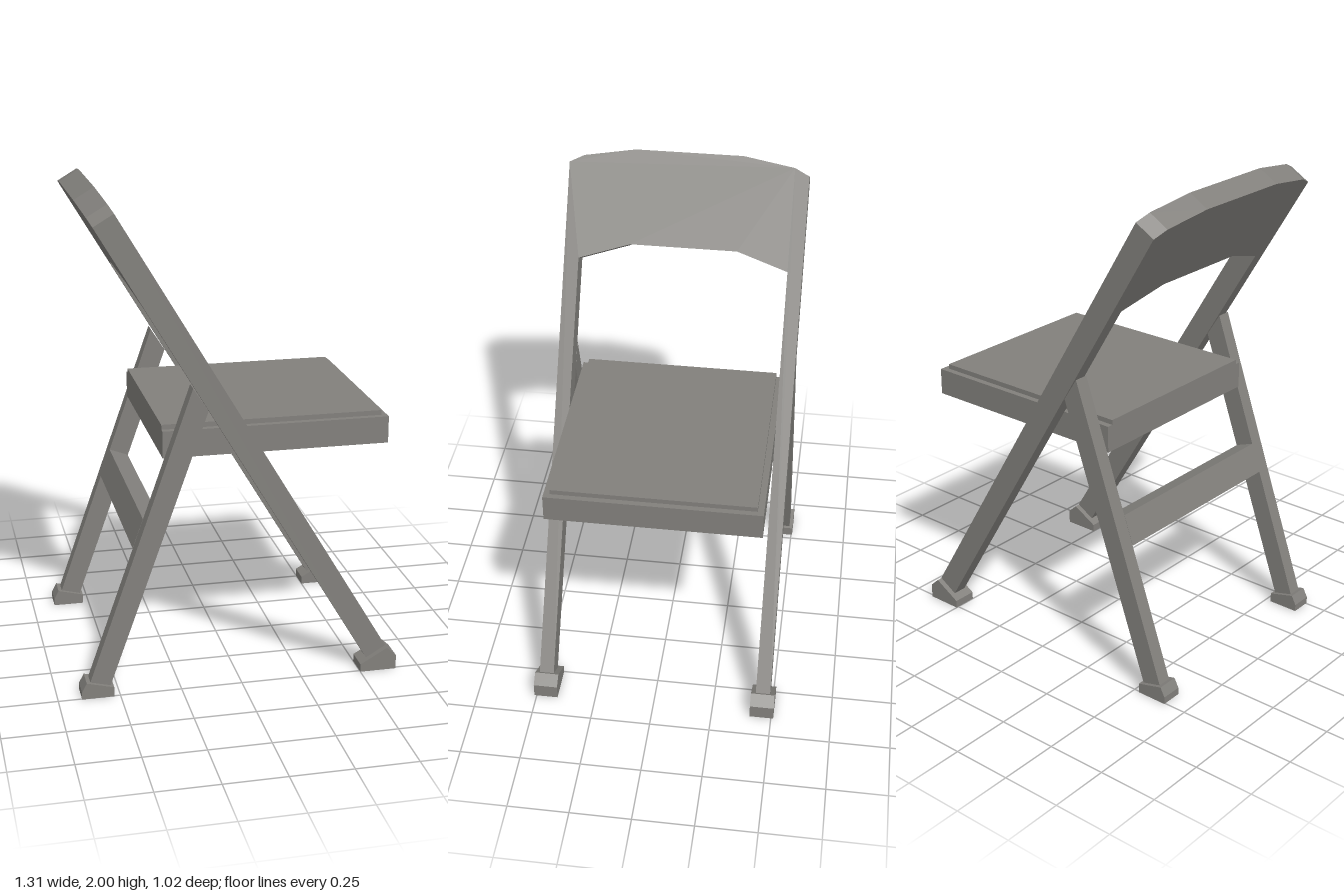
import * as THREE from 'three';

export function createModel() {
  const group = new THREE.Group();
  const grey = new THREE.MeshStandardMaterial({ color: 0x82807c });
  grey.name = 'warm grey';

  const add = (name, geometry) => {
    const mesh = new THREE.Mesh(geometry, grey);
    mesh.name = name;
    group.add(mesh);
    return mesh;
  };
  const outline = (points) => new THREE.Shape(points.map(([x, y]) => new THREE.Vector2(x, y)));
  const extrude = (shape, depth) => new THREE.ExtrudeGeometry(shape, { depth, bevelEnabled: false });
  // side profile in x/y, given width across z
  const profile = (name, points, z, width) => {
    const mesh = add(name, extrude(outline(points), width));
    mesh.position.z = z - width / 2;
    return mesh;
  };

  // Main frame: front legs and arched backrest cut from one tilted board.
  // Outline is x across, y measured along the slope down from the top.
  const half = [
    [0.22, 0], [0.43, -0.035], [0.49, -0.065], [0.49, -2.21],
    [0.43, -2.21], [0.43, -0.453], [0.22, -0.384],
  ];
  const mirrored = half.map(([x, y]) => [-x, y]).reverse();
  const frame = add('backrestAndFrontLegs', extrude(outline([...half, ...mirrored]), 0.094));
  const up = new THREE.Vector3(-1.13, 1.9, 0).normalize();
  const across = new THREE.Vector3(0, 0, -1);
  const normal = across.clone().cross(up);
  frame.quaternion.setFromRotationMatrix(new THREE.Matrix4().makeBasis(across, up, normal));
  frame.position.set(-0.52, 2, 0).addScaledVector(normal, -0.094);

  // Rear legs and feet on both sides
  for (const [side, s] of [['left', 1], ['right', -1]]) {
    profile(side + 'RearLeg', [[-0.62, 0.06], [-0.54, 0.035], [-0.135, 1.165], [-0.195, 1.26]], s * 0.46, 0.06);
    profile(side + 'FrontFoot', [[0.5, 0], [0.652, 0], [0.652, 0.06], [0.612, 0.097], [0.5, 0.033]], s * 0.46, 0.1);
    profile(side + 'RearFoot', [[-0.655, 0], [-0.525, 0], [-0.525, 0.04], [-0.635, 0.068], [-0.655, 0.03]], s * 0.46, 0.09);
  }

  // Brace between the rear legs
  profile('rearBrace', [[-0.35, 0.57], [-0.307, 0.69], [-0.387, 0.72], [-0.43, 0.6]], 0, 0.86);

  // Seat tray: open underneath, with a rim around it
  const rect = (x0, x1, z) => [[x0, -z], [x1, -z], [x1, z], [x0, z]];
  const rimShape = outline(rect(-0.305, 0.613, 0.43));
  rimShape.holes.push(outline(rect(-0.265, 0.573, 0.39)));
  const rim = add('seatRim', extrude(rimShape, 0.11));
  rim.rotation.x = -Math.PI / 2;
  rim.position.y = 0.965;

  // Seat panel, slightly raised above the rim
  const panel = add('seatPanel', extrude(outline(rect(-0.305, 0.59, 0.405)), 0.02));
  panel.rotation.x = -Math.PI / 2;
  panel.position.y = 1.075;
  const base = add('seatUnderside', extrude(outline(rect(-0.265, 0.573, 0.39)), 0.025));
  base.rotation.x = -Math.PI / 2;
  base.position.y = 1.05;

  return group;
}
